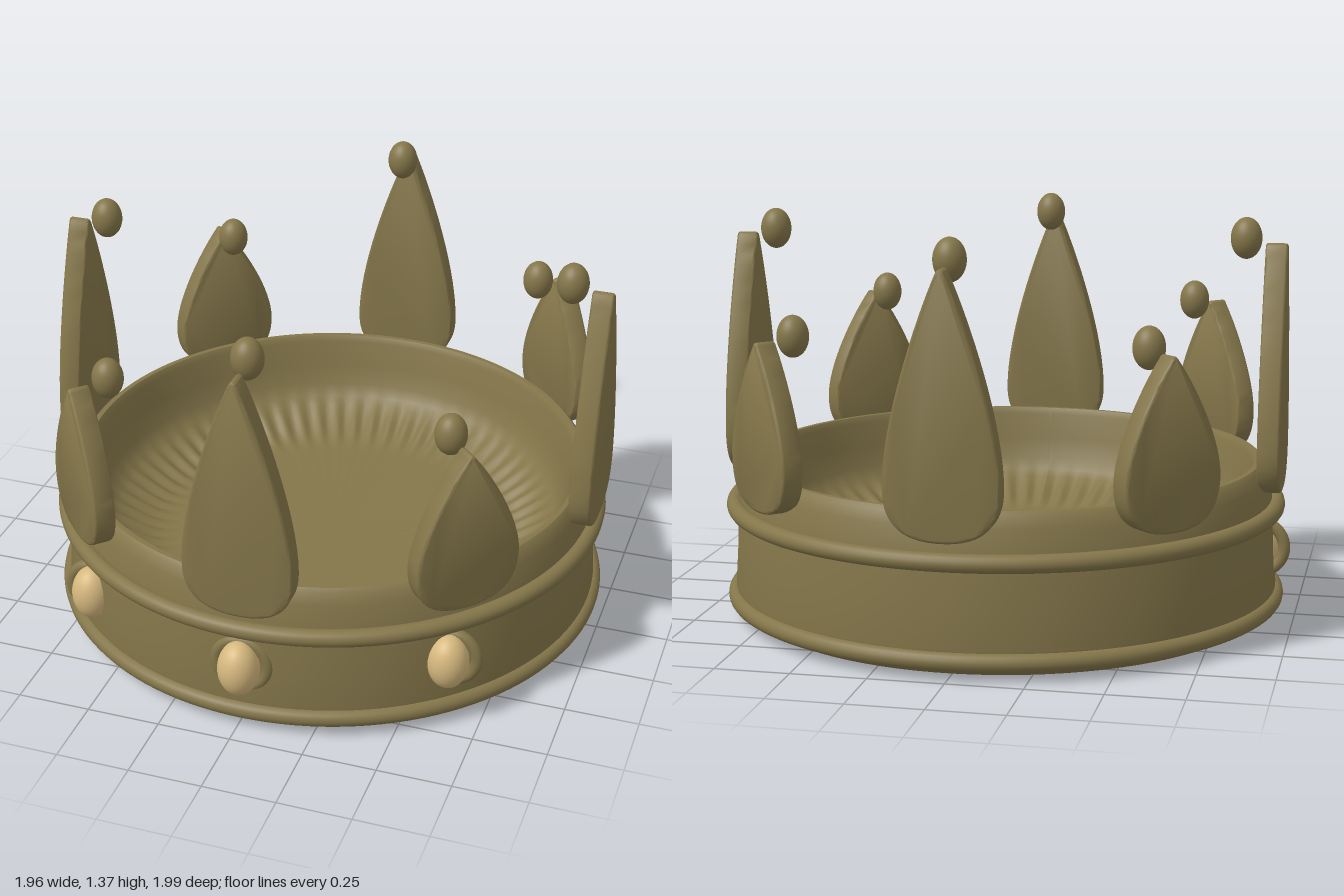
import * as THREE from 'three';
import { toCreasedNormals } from 'three/addons/utils/BufferGeometryUtils.js';

const CENTRE_X = 0.012, CENTRE_Z = -0.029;

export function createModel() {
  const gold = new THREE.MeshStandardMaterial({ color: 0x84764a });
  gold.name = 'old gold';
  const amber = new THREE.MeshStandardMaterial({ color: 0xd6b87e });
  amber.name = 'pale amber';

  const model = new THREE.Group();
  model.name = 'crown';
  const body = new THREE.Group();
  body.name = 'crownBody';
  body.position.set(CENTRE_X, 0, CENTRE_Z);
  model.add(body);

  const add = (name, geometry, material, parent = body) => {
    const mesh = new THREE.Mesh(geometry, material);
    mesh.name = name;
    parent.add(mesh);
    return mesh;
  };
  const points = (list) => list.map(([x, y]) => new THREE.Vector2(x, y));

  // Outer band: flat base, slightly tapering wall, rounded rim
  const band = new THREE.LatheGeometry(points([
    [0, 0], [0.86, 0], [0.895, 0.01], [0.92, 0.028], [0.94, 0.065], [0.943, 0.1],
    [0.935, 0.22], [0.93, 0.37], [0.922, 0.42], [0.909, 0.48], [0.895, 0.52], [0.883, 0.532], [0.865, 0.532],
  ]), 128);
  add('band', toCreasedNormals(band, 0.7), gold);

  // Sunken lining with a ring of radial pleats
  const lining = new THREE.LatheGeometry(points([
    [0.865, 0.532], [0.852, 0.51], [0.835, 0.42], [0.815, 0.345], [0.79, 0.305], [0.76, 0.28],
    [0.72, 0.255], [0.68, 0.232], [0.64, 0.213], [0.6, 0.203], [0.55, 0.199], [0, 0.195],
  ]), 384);
  const pos = lining.attributes.position;
  for (let i = 0; i < pos.count; i++) {
    const x = pos.getX(i), z = pos.getZ(i), r = Math.hypot(x, z);
    const fade = Math.max(0, 1 - Math.abs(r - 0.69) / 0.11);
    pos.setY(i, pos.getY(i) + 0.011 * fade * Math.cos(64 * Math.atan2(x, z)));
  }
  lining.computeVertexNormals();
  add('pleatedLining', lining, gold);

  // Two raised rings around the band
  for (const [name, y] of [['lowerRing', 0.063], ['upperRing', 0.378]]) {
    const ring = add(name, new THREE.TorusGeometry(0.94, 0.03, 16, 128), gold);
    ring.rotation.x = Math.PI / 2;
    ring.position.y = y;
  }

  // Teardrop points, tall and short in turn, each with a bead inside its tip
  const spikeGeometry = (height) => {
    const w = 0.186, waist = 0.165, rise = height - waist, tip = 0.014, bevel = 0.01;
    const s = new THREE.Shape();
    s.moveTo(0, 0);
    s.bezierCurveTo(0.12, 0, w, 0.05, w, waist);
    s.bezierCurveTo(w, waist + 0.3 * rise, 0.08, waist + 0.76 * rise, tip, height - 0.012);
    s.quadraticCurveTo(0, height + 0.012, -tip, height - 0.012);
    s.bezierCurveTo(-0.08, waist + 0.76 * rise, -w, waist + 0.3 * rise, -w, waist);
    s.bezierCurveTo(-w, 0.05, -0.12, 0, 0, 0);
    const g = new THREE.ExtrudeGeometry(s, {
      depth: 0.076 - 2 * bevel, bevelThickness: bevel, bevelSize: bevel,
      bevelOffset: -bevel, bevelSegments: 3, curveSegments: 16,
    });
    g.translate(0, 0, bevel);
    return toCreasedNormals(g, 0.8);
  };
  const tall = spikeGeometry(0.845), short = spikeGeometry(0.56);
  const bead = new THREE.SphereGeometry(1, 32, 20);
  for (let i = 0; i < 8; i++) {
    const isTall = i % 2 === 0;
    const arm = new THREE.Group();
    arm.name = isTall ? 'tallPoint' : 'shortPoint';
    arm.rotation.y = i * Math.PI / 4;
    body.add(arm);
    add('spike', isTall ? tall : short, gold, arm).position.set(0, 0.44, 0.888);
    const tip = add('bead', bead, gold, arm);
    tip.scale.set(0.053, 0.07, 0.053);
    tip.position.set(0, isTall ? 1.3 : 1.01, 0.823);
  }

  // Jewels in round settings that all face forwards: [x, z]
  for (const [x, z] of [[-0.883, 0.025], [-0.628, 0.669], [-0.003, 0.92], [0.628, 0.669]]) {
    const setting = new THREE.Group();
    setting.name = 'jewelSetting';
    setting.position.set(x, 0.235, z);
    body.add(setting);
    add('settingRing', new THREE.TorusGeometry(0.088, 0.021, 14, 48), gold, setting);
    const jewel = add('jewel', bead, amber, setting);
    jewel.scale.set(0.07, 0.097, 0.072);
    jewel.position.z = 0.032;
  }
  return model;
}
